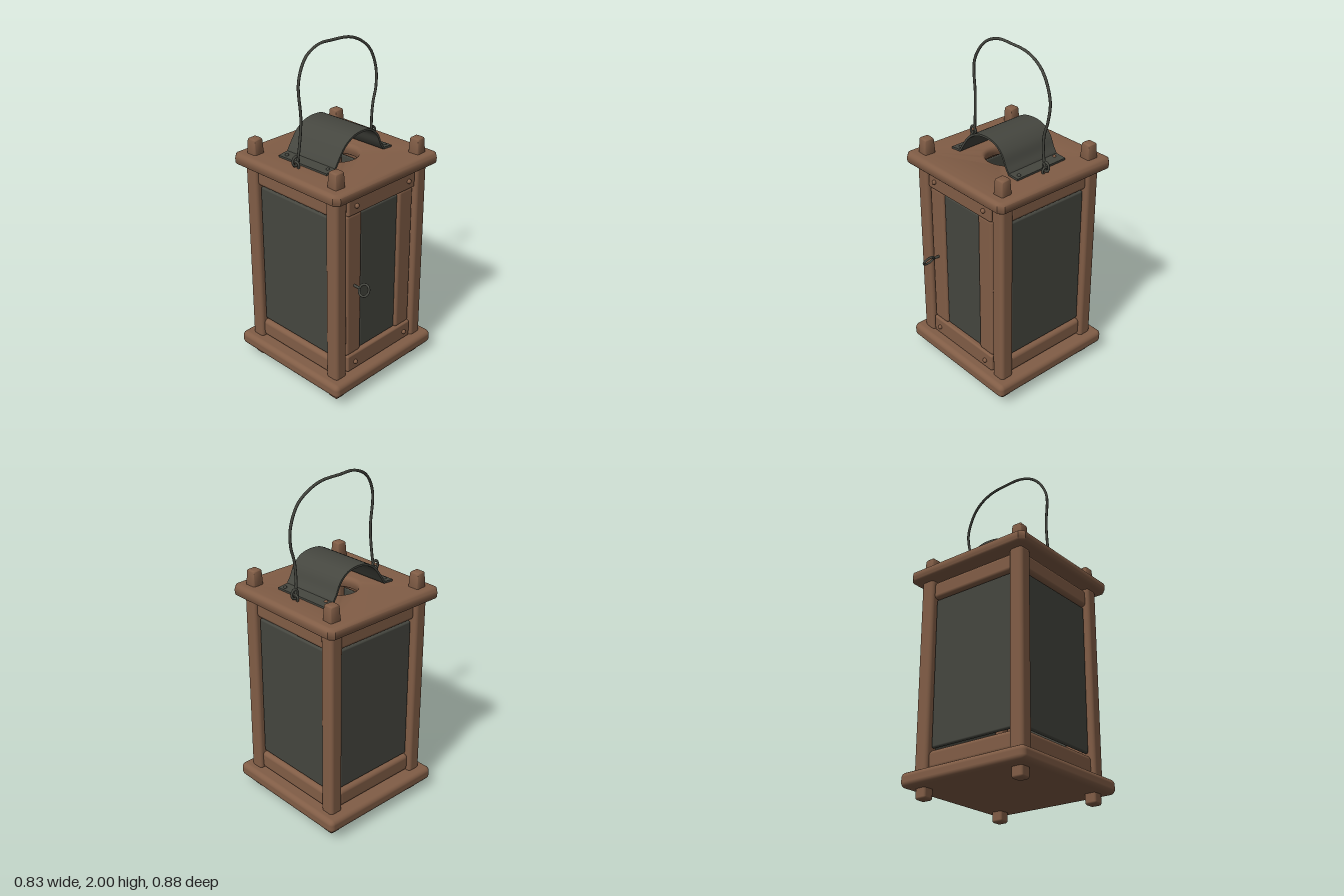
import * as THREE from 'three';
import { toCreasedNormals } from 'three/addons/utils/BufferGeometryUtils.js';
import { RoundedBoxGeometry } from 'three/addons/geometries/RoundedBoxGeometry.js';

const wood = new THREE.MeshStandardMaterial({ color: 0x815d46 });
wood.name = 'brown wood';
const iron = new THREE.MeshStandardMaterial({ color: 0x45463f });
iron.name = 'dark iron';

const CZ = -0.025; // centre of the lantern body in z

export function createModel() {
  const model = new THREE.Group();
  model.name = 'lantern';

  const add = (name, geometry, material, x = 0, y = 0, z = 0, parent = model) => {
    const mesh = new THREE.Mesh(geometry, material);
    mesh.name = name;
    mesh.position.set(x, y, z);
    parent.add(mesh);
    return mesh;
  };
  // Softly rounded block given by its size and centre
  const block = (name, material, w, h, d, x, y, z, r = 0.015) =>
    add(name, new RoundedBoxGeometry(w, h, d, 3, r), material, x, y, z);
  const curve = (pts) => new THREE.CatmullRomCurve3(pts.map((p) => new THREE.Vector3(...p)));

  // Base slab
  block('base', wood, 0.83, 0.085, 0.83, 0, 0.103, CZ, 0.03);

  // Roof slab with a smoke hole
  const b = 0.025, s = 0.415 - b, c = 0.015;
  const roofShape = new THREE.Shape([
    [-s + c, -s], [s - c, -s], [s, -s + c], [s, s - c],
    [s - c, s], [-s + c, s], [-s, s - c], [-s, -s + c],
  ].map((p) => new THREE.Vector2(...p)));
  const hole = new THREE.Path();
  hole.absarc(0, 0, 0.15, 0, Math.PI * 2, true);
  roofShape.holes.push(hole);
  const roofGeo = new THREE.ExtrudeGeometry(roofShape, {
    depth: 0.07 - 2 * b, bevelEnabled: true, bevelSize: b, bevelThickness: b, bevelSegments: 4, curveSegments: 24,
  });
  roofGeo.rotateX(-Math.PI / 2);
  add('roof', toCreasedNormals(roofGeo, 0.7), wood, 0, 1.28 + b, CZ);

  // Corner posts with pegs through roof and base
  for (const x of [-0.322, 0.322]) {
    for (const z of [-0.342, 0.295]) {
      block('post', wood, 0.087, 1.16, 0.087, x, 0.712, z, 0.022);
      const peg = new RoundedBoxGeometry(0.078, 0.13, 0.078, 3, 0.014);
      const p = peg.attributes.position;
      for (let i = 0; i < p.count; i++) {
        const k = 1 - 0.2 * (p.getY(i) / 0.13 + 0.5);
        p.setX(i, p.getX(i) * k);
        p.setZ(i, p.getZ(i) * k);
      }
      peg.computeVertexNormals();
      add('topPeg', toCreasedNormals(peg, 0.7), wood, x, 1.375, z).rotation.y = x * z > 0 ? 0.05 : -0.05;
      block('foot', wood, 0.07, 0.1, 0.07, x, 0.05, z, 0.014);
    }
  }

  // Side walls: two rails and a pane
  for (const side of [-1, 1]) {
    block('sideTopRail', wood, 0.06, 0.105, 0.57, side * 0.318, 1.218, CZ, 0.022);
    block('sideBottomRail', wood, 0.06, 0.11, 0.57, side * 0.318, 0.205, CZ, 0.025);
    block('sidePane', iron, 0.024, 0.885, 0.54, side * 0.325, 0.715, CZ, 0.011);
  }

  // Back wall
  block('backTopRail', wood, 0.57, 0.105, 0.06, 0, 1.218, -0.338, 0.022);
  block('backBottomRail', wood, 0.57, 0.11, 0.06, 0, 0.205, -0.338, 0.025);
  block('backPane', iron, 0.54, 0.885, 0.024, 0, 0.715, -0.345, 0.011);

  // Door
  block('doorTopRail', wood, 0.54, 0.11, 0.05, 0, 1.217, 0.31, 0.012);
  block('doorBottomRail', wood, 0.54, 0.11, 0.05, 0, 0.207, 0.31, 0.012);
  block('doorLeftStile', wood, 0.12, 0.91, 0.045, 0.208, 0.712, 0.303, 0.02);
  block('doorRightStile', wood, 0.12, 0.91, 0.045, -0.212, 0.712, 0.303, 0.02);
  block('doorPane', iron, 0.3, 0.885, 0.024, -0.003, 0.708, 0.303, 0.011);

  // Door nails
  const nail = new THREE.SphereGeometry(0.014, 12, 8);
  for (const x of [-0.21, 0.213]) {
    for (const y of [0.205, 1.215]) add('doorNail', nail, wood, x, y, 0.338);
  }

  // Door ring on a short pin
  const ring = new THREE.Group();
  ring.name = 'doorRing';
  ring.position.set(-0.212, 0.716, 0.4);
  ring.rotation.z = -0.52;
  model.add(ring);
  add('ring', new THREE.TorusGeometry(0.034, 0.007, 8, 24), iron, 0, 0, 0, ring).rotation.y = Math.PI / 2;
  add('pin', new THREE.CylinderGeometry(0.008, 0.008, 0.055, 8), iron, 0, 0, -0.058, ring).rotation.x = Math.PI / 2;

  // Arched smoke cover bent from sheet iron
  const hood = new THREE.Group();
  hood.name = 'smokeCover';
  hood.position.set(0, 0, -0.027);
  hood.rotation.y = 0.03;
  model.add(hood);
  const arc = curve([
    [-0.2, 1.362, 0], [-0.172, 1.405, 0], [-0.12, 1.472, 0], [-0.055, 1.51, 0], [0.02, 1.52, 0],
    [0.09, 1.507, 0], [0.145, 1.462, 0], [0.175, 1.4, 0], [0.2, 1.362, 0],
  ]).getPoints(32);
  const line = [new THREE.Vector3(-0.268, 1.356, 0), ...arc, new THREE.Vector3(0.268, 1.356, 0)];
  const t = 0.006;
  const edge = (sign) => line.map((q, i) => {
    const a = line[Math.max(i - 1, 0)], n = line[Math.min(i + 1, line.length - 1)];
    const d = n.clone().sub(a).normalize();
    return new THREE.Vector2(q.x - d.y * t * sign, q.y + d.x * t * sign);
  });
  const hoodGeo = new THREE.ExtrudeGeometry(
    new THREE.Shape([...edge(-1), ...edge(1).reverse()]), { depth: 0.365, bevelEnabled: false });
  add('sheet', toCreasedNormals(hoodGeo, 0.7), iron, 0, 0, -0.1825, hood);

  // Cover nails
  for (const [x, z, m] of [[-0.245, -0.165, iron], [0.215, -0.18, wood], [0.25, 0.115, iron], [-0.222, 0.133, iron]]) {
    add('coverNail', new THREE.SphereGeometry(0.011, 12, 8), m, x, 1.364, z);
  }

  // Bent wire handle
  const wire = curve([
    [-0.295, 1.37, -0.03], [-0.283, 1.45, -0.025], [-0.27, 1.62, -0.02], [-0.277, 1.83, -0.025],
    [-0.21, 1.945, -0.04], [-0.11, 1.992, -0.048], [0, 1.992, -0.053], [0.13, 1.982, -0.048],
    [0.22, 1.942, -0.043], [0.28, 1.885, -0.035], [0.325, 1.77, -0.03], [0.32, 1.66, -0.022],
    [0.295, 1.57, -0.02], [0.29, 1.45, -0.025], [0.3, 1.37, -0.03],
  ]);
  add('handle', new THREE.TubeGeometry(wire, 90, 0.008, 8), iron);

  // Eyelets and the wire loops hooked through them
  for (const side of [-1, 1]) {
    add('eyelet', new THREE.TorusGeometry(0.02, 0.007, 8, 20), iron, side * 0.3, 1.363, -0.03).rotation.y = Math.PI / 2;
    const loop = add('handleLoop', new THREE.TorusGeometry(0.022, 0.007, 8, 20), iron, side * 0.305, 1.388, -0.03);
    loop.scale.y = 1.2;
  }

  return model;
}
